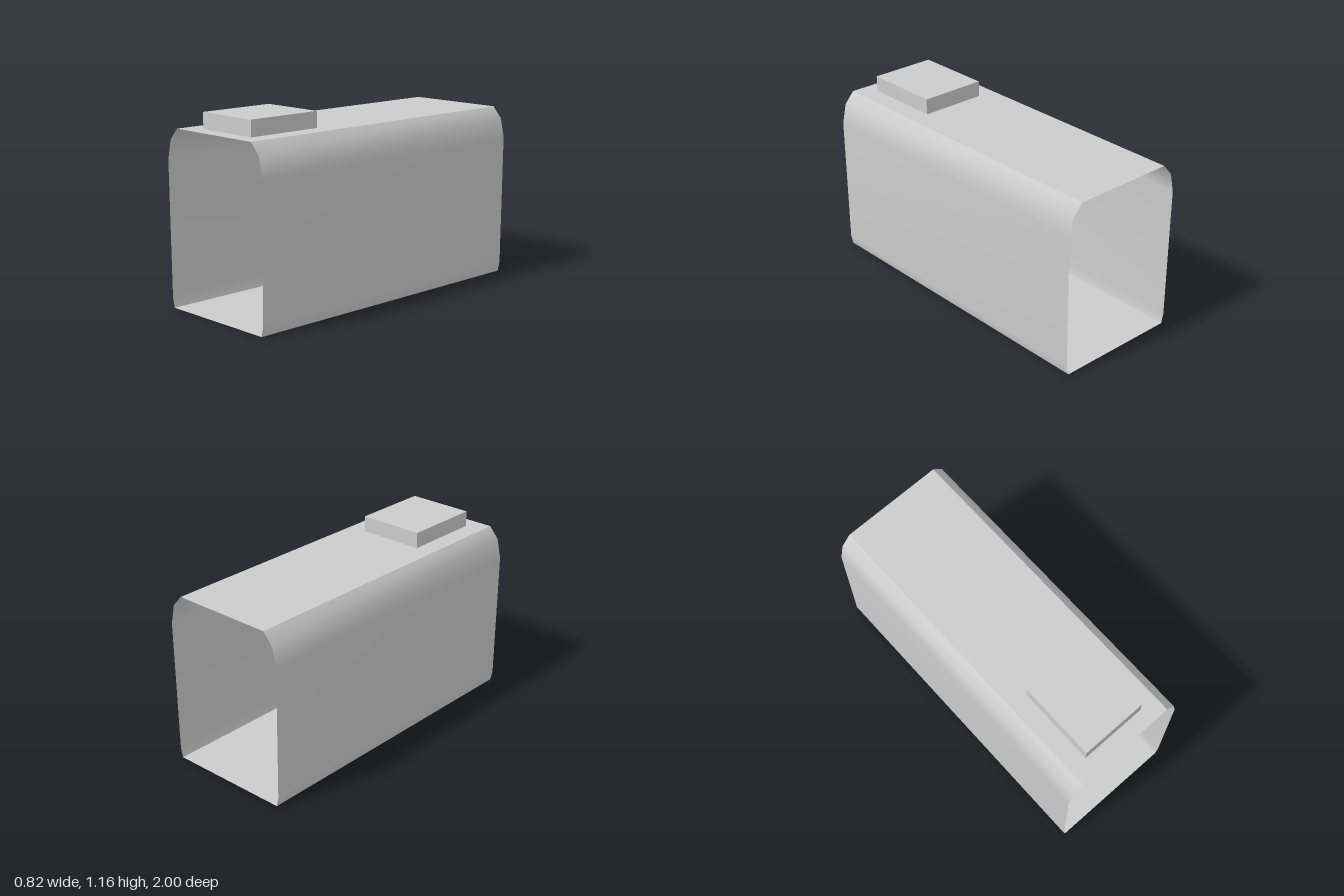
import * as THREE from 'three';

// Sweeps an open cross-section (counter-clockwise, seen from the front) along z
function makeStrip(points, zFront, zBack) {
  const positions = [];
  const indices = [];
  points.forEach(([x, y], i) => {
    positions.push(x, y, zFront, x, y, zBack);
    if (i > 0) {
      const a = (i - 1) * 2;
      indices.push(a, a + 1, a + 3, a, a + 3, a + 2);
    }
  });
  const geometry = new THREE.BufferGeometry();
  geometry.setAttribute('position', new THREE.Float32BufferAttribute(positions, 3));
  geometry.setIndex(indices);
  geometry.computeVertexNormals();
  return geometry;
}

export function createModel() {
  const group = new THREE.Group();
  const grey = new THREE.MeshStandardMaterial({ color: 0xcccccc, side: THREE.DoubleSide });
  grey.name = 'plain grey';

  const add = (name, geometry) => {
    const mesh = new THREE.Mesh(geometry, grey);
    mesh.name = name;
    group.add(mesh);
    return mesh;
  };

  // Side wall outline, from the floor edge up to the roof edge
  const wall = [[0.387, 0], [0.401, 0.06], [0.41, 0.87], [0.384, 0.99], [0.322, 1.06]];
  const mirrored = wall.map(([x, y]) => [-x, y]).reverse();

  // Thin shell, open at both ends, creased along floor and roof edges
  add('leftWall', makeStrip(wall, 1, -1));
  add('rightWall', makeStrip(mirrored, 1, -1));
  add('roof', makeStrip([wall[4], mirrored[0]], 1, -1));
  add('floor', makeStrip([mirrored[4], wall[0]], 1, -1));

  // Flat box on the roof near the front
  add('roofBox', new THREE.BoxGeometry(0.414, 0.097, 0.486)).position.set(0, 1.1085, 0.659);

  return group;
}
